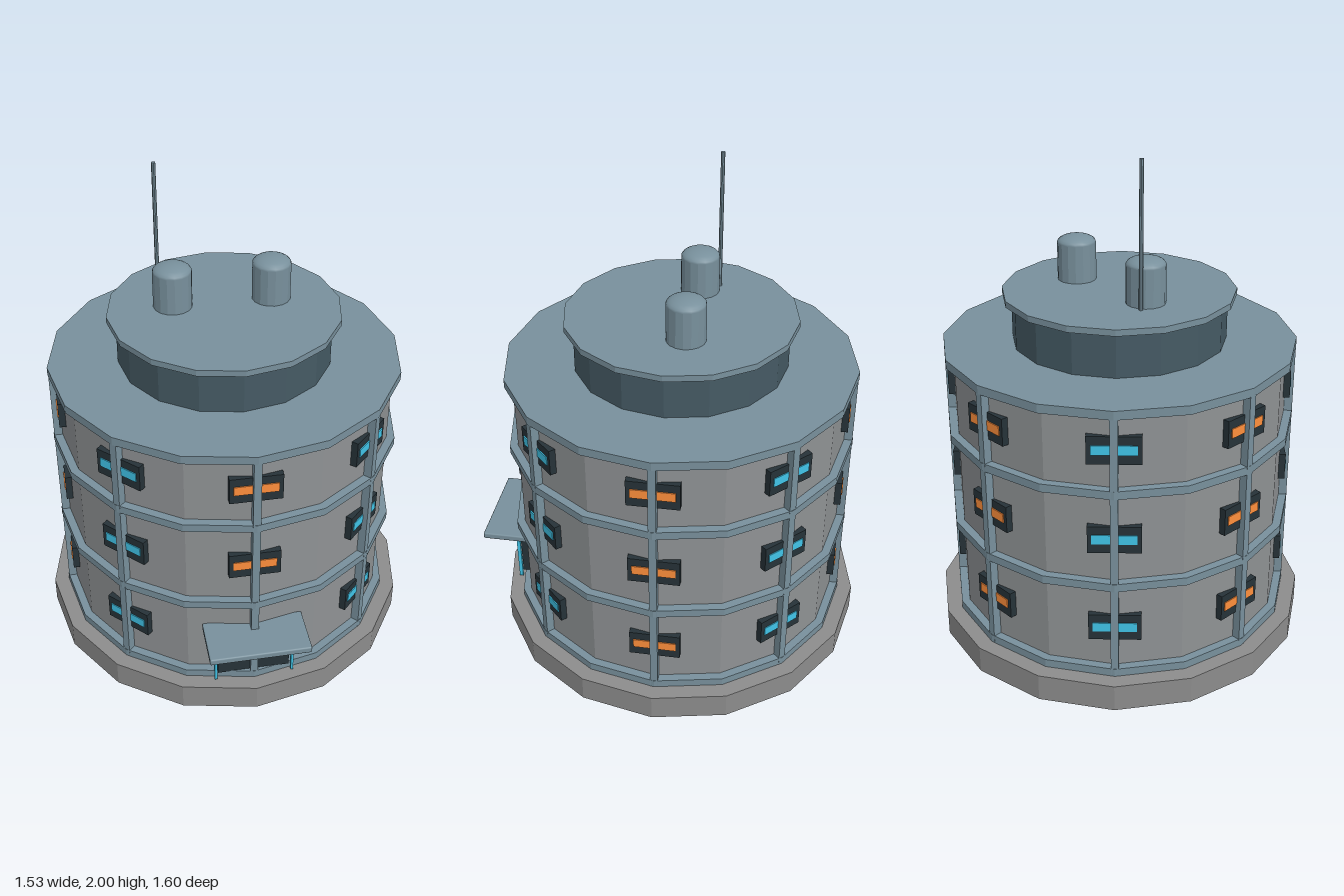
import * as THREE from 'three';
import { RoundedBoxGeometry } from 'three/addons/geometries/RoundedBoxGeometry.js';

const mat = (color, flatShading = true) => new THREE.MeshStandardMaterial({ color, flatShading });
const M = {
  concrete: mat(0x8f9294), base: mat(0x8c8c8c), trim: mat(0x78909c), drum: mat(0x455a64),
  dark: mat(0x263238), cyan: mat(0x40c4e8), orange: mat(0xff8f3c), smooth: mat(0x78909c, false),
};
const SIDES = 16;

function add(parent, name, geometry, material, x = 0, y = 0, z = 0) {
  const mesh = new THREE.Mesh(geometry, material);
  mesh.name = name;
  mesh.position.set(x, y, z);
  parent.add(mesh);
  return mesh;
}

// Sixteen-sided disc or drum between two heights, with a corner facing front
function prism(parent, name, radius, y0, y1, material) {
  return add(parent, name, new THREE.CylinderGeometry(radius, radius, y1 - y0, SIDES), material, 0, (y0 + y1) / 2);
}

const box = (w, h, d) => new THREE.BoxGeometry(w, h, d);

export function createModel() {
  const model = new THREE.Group();
  model.name = 'roundTower';
  const tower = new THREE.Group();
  tower.name = 'tower';
  tower.position.z = -0.035;
  model.add(tower);

  // Plinth, wall and floor bands
  prism(tower, 'plinth', 0.765, 0, 0.11, M.base);
  prism(tower, 'wall', 0.67, 0.11, 1.2, M.concrete);
  for (const y of [0.11, 0.493, 0.883]) prism(tower, 'floorBand', 0.703, y, y + 0.033, M.trim);
  prism(tower, 'roofSlab', 0.703, 1.197, 1.232, M.trim);

  // Eight bays, each with a rib and three windows
  for (let i = 0; i < 8; i++) {
    const bay = new THREE.Group();
    bay.name = 'bay';
    bay.rotation.y = (i * Math.PI) / 4;
    tower.add(bay);
    add(bay, 'rib', box(0.03, 1.09, 0.035), M.trim, 0, 0.655, 0.683);
    for (const y of [0.318, 0.702, 1.067]) {
      add(bay, 'windowFrame', box(0.2, 0.11, 0.04), M.dark, 0, y, 0.657);
      add(bay, 'windowGlass', box(0.168, 0.038, 0.02), i % 2 ? M.cyan : M.orange, 0, y + 0.002, 0.671);
    }
  }

  // Entrance with glowing side strips and a canopy
  const entrance = new THREE.Group();
  entrance.name = 'entrance';
  model.add(entrance);
  add(entrance, 'door', box(0.29, 0.195, 0.035), M.dark, 0, 0.238, 0.632);
  for (const s of [-1, 1]) add(entrance, 'lightStrip', box(0.01, 0.2, 0.015), M.cyan, s * 0.156, 0.22, 0.656);
  add(entrance, 'canopy', new RoundedBoxGeometry(0.4, 0.028, 0.2, 2, 0.006), M.smooth, 0, 0.365, 0.697);

  // Rooftop drum with its overhanging lid
  prism(tower, 'roofDrum', 0.425, 1.232, 1.412, M.drum);
  prism(tower, 'drumLid', 0.46, 1.41, 1.435, M.trim);

  // Domed tanks
  for (const s of [-1, 1]) {
    const tank = new THREE.Group();
    tank.name = 'tank';
    tank.position.set(s * 0.195, 1.43, -0.082);
    model.add(tank);
    add(tank, 'tankBody', new THREE.CylinderGeometry(0.077, 0.077, 0.155, 16), M.trim, 0, 0.0775);
    const dome = new THREE.SphereGeometry(0.077, 16, 6, 0, Math.PI * 2, 0, Math.PI / 2).scale(1, 0.4, 1);
    add(tank, 'tankDome', dome, M.smooth, 0, 0.155);
  }

  // Antenna
  add(model, 'antenna', new THREE.CylinderGeometry(0.008, 0.008, 0.57, 8), M.trim, -0.243, 1.715, -0.155);

  return model;
}
